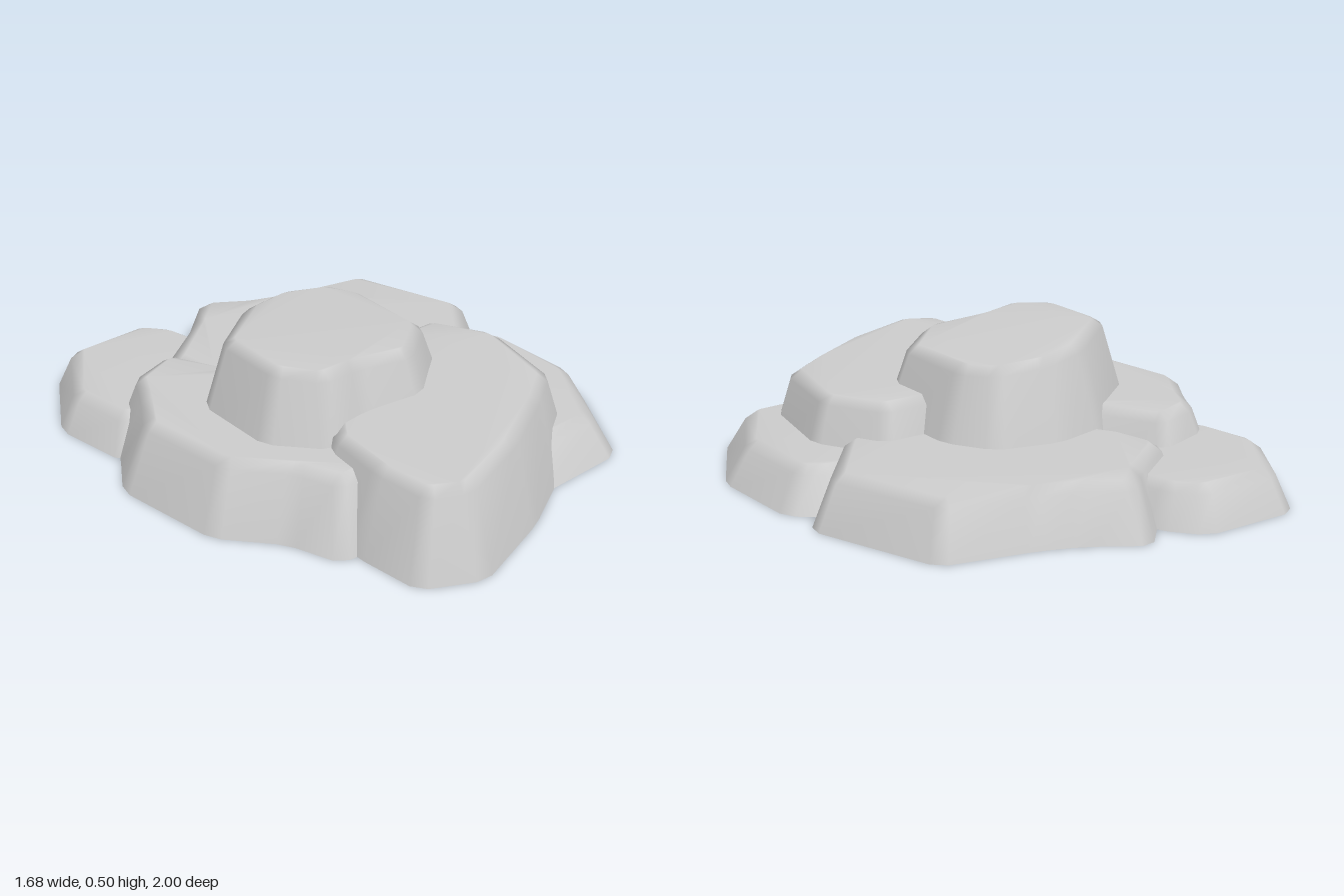
import * as THREE from 'three';

const V = (x, y) => new THREE.Vector2(x, y);

// Move every corner of a counter-clockwise outline inward by d
function inset(points, d) {
  const n = points.length;
  const normal = (a, b) => V(a.y - b.y, b.x - a.x).normalize();
  return points.map((p, i) => {
    const n1 = normal(points[(i + n - 1) % n], p);
    const n2 = normal(p, points[(i + 1) % n]);
    return n1.clone().add(n2).multiplyScalar(d / (1 + n1.dot(n2))).add(p);
  });
}

// Cut each corner into two points
function chamfer(points, size) {
  const n = points.length;
  return points.flatMap((p, i) =>
    [points[(i + n - 1) % n], points[(i + 1) % n]].map((q) =>
      p.clone().lerp(q, Math.min(0.3, size / p.distanceTo(q)))));
}

// Open-bottomed rock slab: sloping wall, bevelled rim, flat or tilted top
function slabGeometry({ outline, bottom, height, slope, tilt }) {
  let base = outline.map(([x, z]) => V(x, -z));
  if (THREE.ShapeUtils.isClockWise(base)) base = base.reverse();
  // Each ring: inset, y, corner chamfer
  const profile = [[0, bottom, 0.035], [slope - 0.04, height - 0.028, 0.03], [slope, height, 0.014]];
  const rings = profile.map(([d, , cut]) => chamfer(inset(base, d), cut));
  const n = rings[0].length;
  const positions = [];
  const index = [];
  rings.forEach((ring, r) => ring.forEach((p) =>
    positions.push(p.x, profile[r][1] + (r > 0 ? tilt * p.x : 0), -p.y)));
  for (let r = 0; r < rings.length - 1; r++) {
    for (let i = 0; i < n; i++) {
      const a = r * n + i, b = r * n + (i + 1) % n;
      index.push(a, b, b + n, a, b + n, a + n);
    }
  }
  const last = (rings.length - 1) * n;
  for (const face of THREE.ShapeUtils.triangulateShape(rings[rings.length - 1], [])) {
    index.push(...face.map((k) => k + last));
  }
  const geometry = new THREE.BufferGeometry();
  geometry.setAttribute('position', new THREE.Float32BufferAttribute(positions, 3));
  geometry.setIndex(index);
  geometry.computeVertexNormals();
  return geometry;
}

// Bottom outlines as [x, z] corners
const SLABS = [
  {
    name: 'centerRock', bottom: 0.1, height: 0.46, slope: 0.14, tilt: -0.085,
    outline: [[-0.58, -0.14], [-0.58, 0.23], [-0.4, 0.43], [-0.2, 0.4], [0.05, 0.43],
      [0.31, 0.21], [0.31, -0.2], [0.2, -0.38], [-0.05, -0.44], [-0.28, -0.38]],
  },
  {
    name: 'frontSlab', bottom: 0, height: 0.31, slope: 0.12, tilt: 0,
    outline: [[-0.25, 1.01], [0.1, 0.87], [0.36, 0.71], [0.55, 0.57], [0.63, 0.16], [0.47, -0.13],
      [0.2, -0.12], [0, 0], [-0.3, 0.15], [-0.46, 0.36], [-0.49, 0.64], [-0.46, 0.91]],
  },
  {
    name: 'leftSlab', bottom: 0, height: 0.25, slope: 0.12, tilt: 0,
    outline: [[-0.55, 0.64], [-0.3, 0.64], [-0.2, 0.38], [-0.05, 0.1], [-0.08, -0.2], [-0.21, -0.34],
      [-0.36, -0.63], [-0.65, -0.53], [-0.73, -0.37], [-0.85, -0.18], [-0.79, 0.25], [-0.62, 0.44]],
  },
  {
    name: 'backSlab', bottom: 0, height: 0.19, slope: 0.1, tilt: 0,
    outline: [[-0.01, -0.97], [0.18, -0.85], [0.32, -0.8], [0.66, -0.73], [0.83, -0.23], [0.54, 0.13],
      [0.2, 0.13], [-0.2, -0.1], [-0.38, -0.4], [-0.42, -0.62], [-0.16, -0.81]],
  },
  {
    name: 'rightSlab', bottom: 0, height: 0.15, slope: 0.11, tilt: 0,
    outline: [[0.2, 0.75], [0.63, 0.72], [0.84, 0.34], [0.83, -0.06], [0.72, -0.15],
      [0.5, -0.18], [0.3, 0], [0.15, 0.35]],
  },
  {
    name: 'backLeftSlab', bottom: 0, height: 0.145, slope: 0.09, tilt: 0,
    outline: [[-0.59, -0.99], [-0.22, -1], [-0.11, -0.87], [-0.05, -0.6], [-0.05, -0.3],
      [-0.4, -0.25], [-0.74, -0.35], [-0.79, -0.66]],
  },
];

export function createModel() {
  const group = new THREE.Group();
  group.name = 'rockFormation';
  const material = new THREE.MeshStandardMaterial({ color: 0xcccccc, side: THREE.DoubleSide });
  for (const slab of SLABS) {
    const mesh = new THREE.Mesh(slabGeometry(slab), material);
    mesh.name = slab.name;
    group.add(mesh);
  }
  return group;
}
